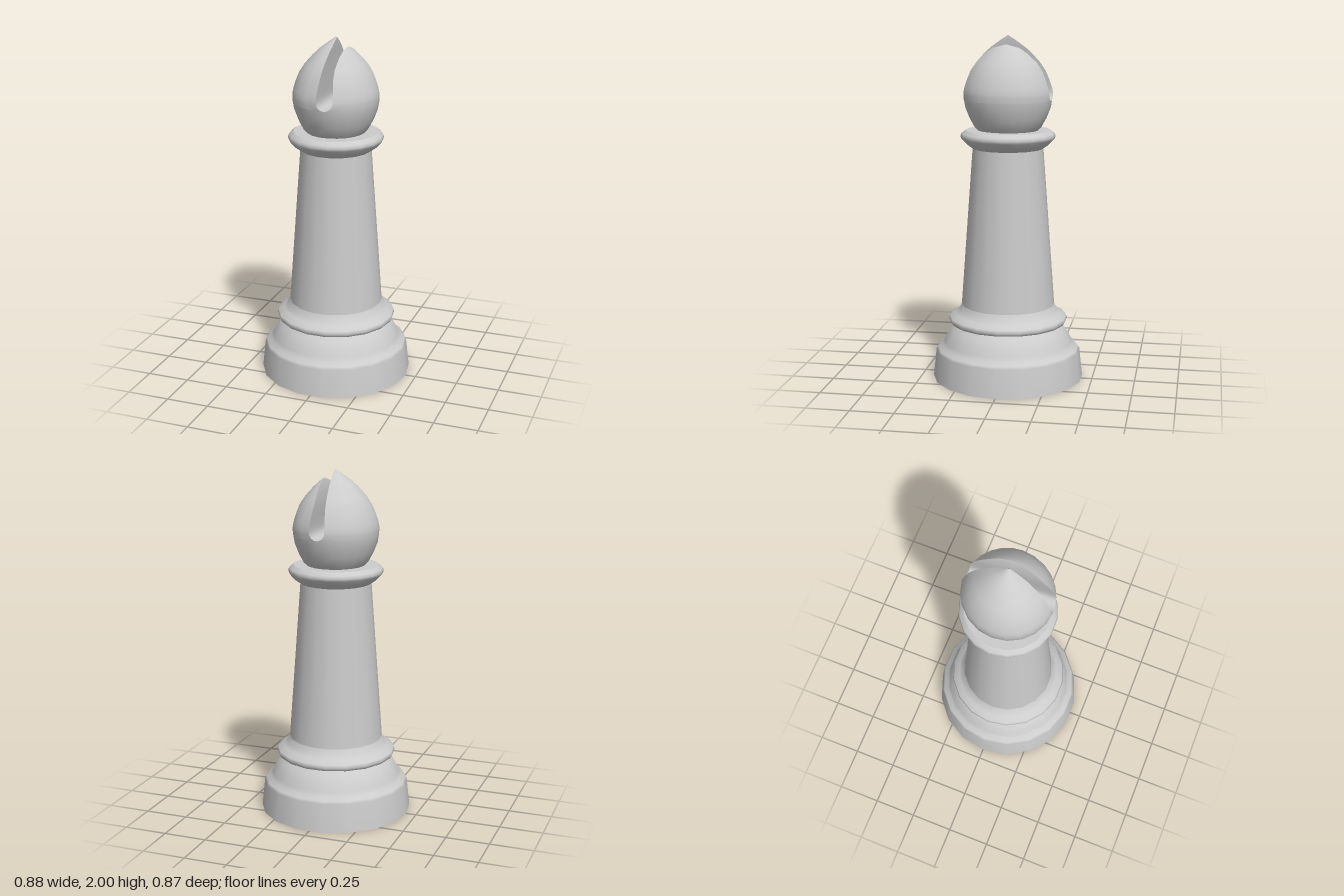
import * as THREE from 'three';
import { mergeGeometries, mergeVertices } from 'three/addons/utils/BufferGeometryUtils.js';

const SIDES = 18;
const grey = new THREE.MeshStandardMaterial({ color: 0xcccccc });

// Turned part from [radius, height] pairs, bottom to top, with a corner on the x axis
function turned(name, profile) {
  const points = profile.map(([r, y]) => new THREE.Vector2(r, y));
  const mesh = new THREE.Mesh(new THREE.LatheGeometry(points, SIDES, Math.PI / 2), grey);
  mesh.name = name;
  return mesh;
}

// Quad grid through rows of points, rows running upwards
function grid(rows) {
  const n = rows[0].length;
  const index = [];
  for (let i = 0; i < rows.length - 1; i++) {
    for (let j = 0; j < n - 1; j++) {
      const a = i * n + j, b = a + n;
      index.push(a, b, a + 1, b, b + 1, a + 1);
    }
  }
  const geometry = new THREE.BufferGeometry().setFromPoints(rows.flat());
  geometry.setIndex(index);
  return geometry;
}

function smoothMesh(name, parts) {
  const geometry = mergeVertices(mergeGeometries(parts), 1e-5);
  geometry.computeVertexNormals();
  const mesh = new THREE.Mesh(geometry, grey);
  mesh.name = name;
  return mesh;
}

// Pointed head, split by a slot running front to back
function createHead() {
  const DEPTH = 1.045, STEPS = 10, MID = 0.021, SLOT_BOTTOM = 1.632, RIGHT_TOP = 1.95;
  // height, radius, slot edge towards -x, slot edge towards +x
  const levels = [
    [1.45, 0.155, MID, MID],
    [1.48, 0.185, MID, MID],
    [1.53, 0.212, MID, MID],
    [1.59, 0.235, MID, MID],
    [SLOT_BOTTOM, 0.242, MID, MID],
    [1.636, 0.2425, 0.001, 0.041],
    [1.645, 0.243, -0.012, 0.054],
    [1.66, 0.244, -0.022, 0.065],
    [1.68, 0.244, -0.026, 0.069],
    [1.71, 0.238, -0.025, 0.068],
    [1.75, 0.225, -0.021, 0.064],
    [1.8, 0.205, -0.016, 0.058],
    [1.85, 0.173, -0.011, 0.055],
    [1.9, 0.128, -0.005, 0.059],
    [1.93, 0.096, -0.001, 0.064],
    [RIGHT_TOP, 0.07, 0.002, 0.07],
    [1.975, 0.036, 0.004, 0.07],
    [1.993, 0.01, 0.006, 0.07],
    [2, 0, 0, 0],
  ];
  const cutAngle = (r, x) => (r > 0 ? Math.acos(Math.min(1, x / r)) : 0);
  const arc = (y, r, from, to) => Array.from({ length: STEPS + 1 }, (_, j) => {
    const t = from + ((to - from) * j) / STEPS;
    return new THREE.Vector3(r * Math.cos(t), y, r * DEPTH * Math.sin(t));
  });
  const across = (y, r, x, sign) => {
    const a = cutAngle(r, x);
    const z = r * DEPTH * Math.sin(a) * sign;
    return [-1, 0, 1].map((s) => new THREE.Vector3(r * Math.cos(a), y, s * z));
  };

  const rightLevels = levels.filter(([y]) => y <= RIGHT_TOP);
  const inSlot = ([y]) => y >= SLOT_BOTTOM;
  const largeLobe = grid(levels.map(([y, r, l]) => {
    const a = cutAngle(r, l);
    return arc(y, r, a, 2 * Math.PI - a);
  }));
  const smallLobe = grid(rightLevels.map(([y, r, , x]) => {
    const a = cutAngle(r, x);
    return arc(y, r, -a, a);
  }));
  const largeWall = grid(levels.filter(inSlot).map(([y, r, l]) => across(y, r, l, 1)));
  const smallWall = grid(rightLevels.filter(inSlot).map(([y, r, , x]) => across(y, r, x, -1)));

  const head = new THREE.Group();
  head.name = 'head';
  head.add(smoothMesh('headShell', [largeLobe, smallLobe]));
  head.add(smoothMesh('slotWalls', [largeWall, smallWall]));
  return head;
}

export function createModel() {
  const model = new THREE.Group();
  model.name = 'chessPiece';

  // Foot with a domed shoulder
  model.add(turned('underside', [[0, 0], [0.44, 0]]));
  model.add(turned('foot', [
    [0.44, 0], [0.422, 0.165], [0.412, 0.18], [0.388, 0.195], [0.375, 0.22],
    [0.355, 0.262], [0.33, 0.295], [0.298, 0.325],
  ]));

  // Bead and tapering shaft
  model.add(turned('beadUnderside', [[0.27, 0.325], [0.312, 0.326]]));
  model.add(turned('bead', [
    [0.312, 0.326], [0.338, 0.333], [0.347, 0.35], [0.342, 0.368],
    [0.308, 0.388], [0.286, 0.408], [0.271, 0.44],
  ]));
  model.add(turned('shaft', [[0.271, 0.44], [0.203, 1.36]]));

  // Collar below the head
  model.add(turned('collar', [
    [0.203, 1.357], [0.24, 1.383], [0.268, 1.412], [0.273, 1.428], [0.267, 1.444], [0.243, 1.462],
  ]));
  model.add(turned('collarTop', [[0.243, 1.462], [0, 1.462]]));

  model.add(createHead());
  return model;
}
